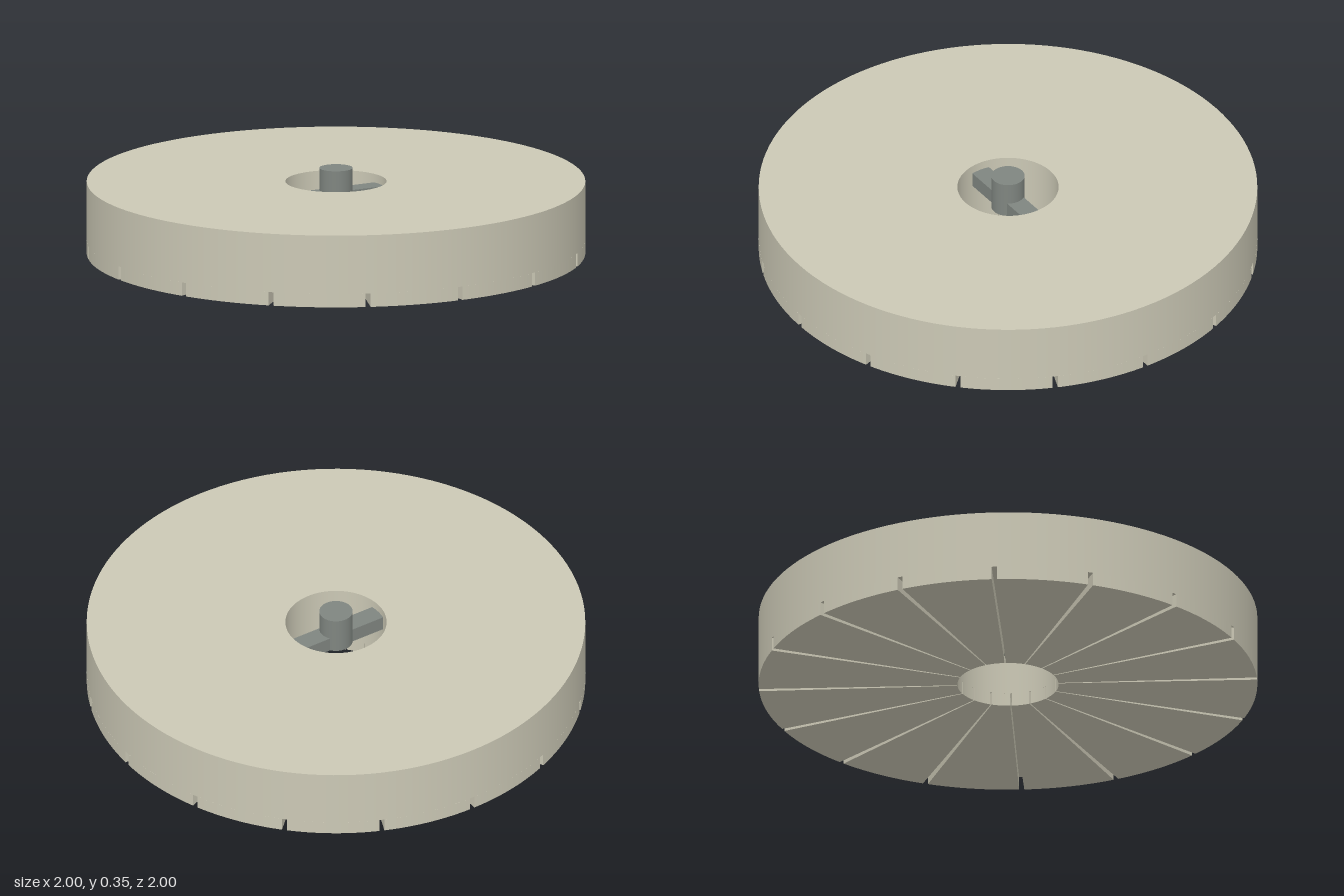
import * as THREE from 'three';

const R = 1, HOLE = 0.203, SLOT_TOP = 0.055, TOP = 0.295, SLOTS = 16;

export function createModel() {
  const group = new THREE.Group();
  const stone = new THREE.MeshStandardMaterial({ color: 0xcbc8b5 });
  const metal = new THREE.MeshStandardMaterial({ color: 0x7f8580 });

  function add(name, geometry, material, y = 0) {
    const mesh = new THREE.Mesh(geometry, material);
    mesh.name = name;
    mesh.position.y = y;
    group.add(mesh);
    return mesh;
  }

  // extrude a flat outline upwards from y = 0
  function slab(shape, height, curveSegments) {
    const g = new THREE.ExtrudeGeometry(shape, { depth: height, bevelEnabled: false, curveSegments });
    return g.rotateX(-Math.PI / 2);
  }

  // solid ring with sharp rims and smooth round walls
  const profile = [[HOLE, SLOT_TOP], [R, SLOT_TOP], [R, TOP], [HOLE, TOP], [HOLE, SLOT_TOP]];
  for (let i = 0; i < 4; i++) {
    const pts = [profile[i], profile[i + 1]].map(p => new THREE.Vector2(...p));
    add('wheelBody', new THREE.LatheGeometry(pts, 128), stone);
  }

  // lower face split into wedges by narrowing radial slots
  const step = Math.PI * 2 / SLOTS, half = 0.0105;
  const wedge = new THREE.Shape();
  wedge.absarc(0, 0, R, half, step - half, false);
  wedge.absarc(0, 0, HOLE, step - half, half, true);
  const wedgeGeometry = slab(wedge, SLOT_TOP, 12);
  for (let i = 0; i < SLOTS; i++) {
    add('lowerSegment', wedgeGeometry, stone).rotation.y = i * step;
  }

  // crossbar spanning the centre hole, carrying a round spindle
  add('crossbar', new THREE.BoxGeometry(HOLE * 2, 0.06, 0.08), metal, 0.23);
  add('spindle', new THREE.CylinderGeometry(0.067, 0.067, 0.15, 48), metal, 0.275);

  return group;
}
